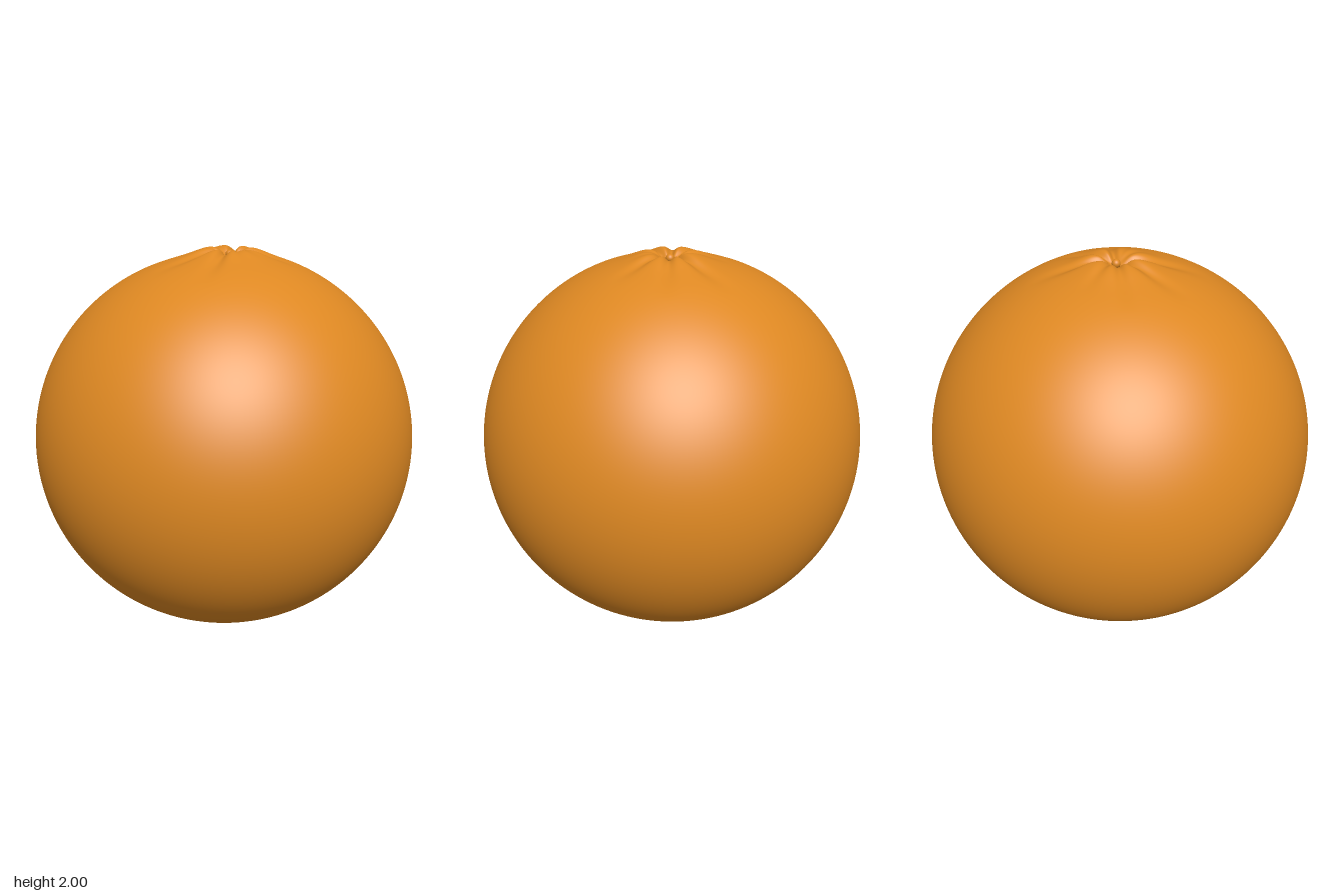
import * as THREE from 'three';
import { mergeVertices } from 'three/addons/utils/BufferGeometryUtils.js';

// Creases around the crown: [angle in degrees from +x towards +z, length, depth]
const CREASES = [
  [-58, 0.46, 0.042], [-15, 0.44, 0.036], [28, 0.40, 0.036],
  [57, 0.24, 0.016], [84, 0.26, 0.02], [121, 0.46, 0.042],
  [166, 0.44, 0.036], [211, 0.40, 0.03], [249, 0.32, 0.022],
];
const CROWN_X = 0.03;

const bell = (d, width) => Math.exp(-((d / width) ** 2));

// Depth of all creases at a point given relative to the crown
function creaseDepth(x, z) {
  let depth = 0;
  for (const [deg, length, amount] of CREASES) {
    const a = THREE.MathUtils.degToRad(deg);
    const along = x * Math.cos(a) + z * Math.sin(a);
    if (along <= 0 || along >= length) continue;
    const across = z * Math.cos(a) - x * Math.sin(a);
    const fade = THREE.MathUtils.smoothstep(along, 0, 0.07) * (1 - along / length) ** 1.4;
    depth += amount * fade * bell(across, 0.014 + 0.09 * along);
  }
  return depth;
}

// Round body: a lathe with dense rings near the crown, then creased
function peelGeometry() {
  const rings = 150;
  const profile = [];
  for (let i = 0; i <= rings; i++) {
    const theta = Math.PI * (1 - (i / rings) ** 0.5) ** 1.0;
    profile.push(new THREE.Vector2(Math.abs(Math.sin(theta)), 0.99 - 0.0 + 0.99 * Math.cos(theta)));
  }
  // Ring spacing shrinks towards the top
  for (let i = 0; i <= rings; i++) {
    const theta = Math.PI * (1 - i / rings) ** 1.9;
    profile[i].set(i === 0 || i === rings ? 0 : Math.sin(theta), 0.99 + 0.99 * Math.cos(theta));
  }
  let geometry = new THREE.LatheGeometry(profile, 240);
  geometry.deleteAttribute('uv');
  geometry.deleteAttribute('normal');
  geometry = mergeVertices(geometry, 1e-5);

  const pos = geometry.attributes.position;
  for (let i = 0; i < pos.count; i++) {
    const x = pos.getX(i), z = pos.getZ(i);
    let y = pos.getY(i);
    const r = Math.hypot(x, z);
    if (y > 1) {
      // Raised crown with a small pit, slightly off centre
      y += 0.024 * bell(r - 0.11, 0.1) - 0.04 * bell(r, 0.045) - creaseDepth(x, z);
      pos.setX(i, x + CROWN_X * bell(r, 0.4));
    } else {
      // Shallow cone underneath
      y = Math.max(y, 0.1 * r);
    }
    pos.setY(i, y);
  }
  geometry.computeVertexNormals();
  return geometry;
}

export function createModel() {
  const group = new THREE.Group();
  group.name = 'orangeFruit';
  const peelMaterial = new THREE.MeshStandardMaterial({ color: 0xde8822 });
  peelMaterial.name = 'orange peel';

  const peel = new THREE.Mesh(peelGeometry(), peelMaterial);
  peel.name = 'peel';
  group.add(peel);

  // Small stem button in the pit
  const button = new THREE.Mesh(new THREE.SphereGeometry(0.022, 24, 16), peelMaterial);
  button.name = 'stemButton';
  button.position.set(CROWN_X, 1.965, 0);
  group.add(button);

  return group;
}
